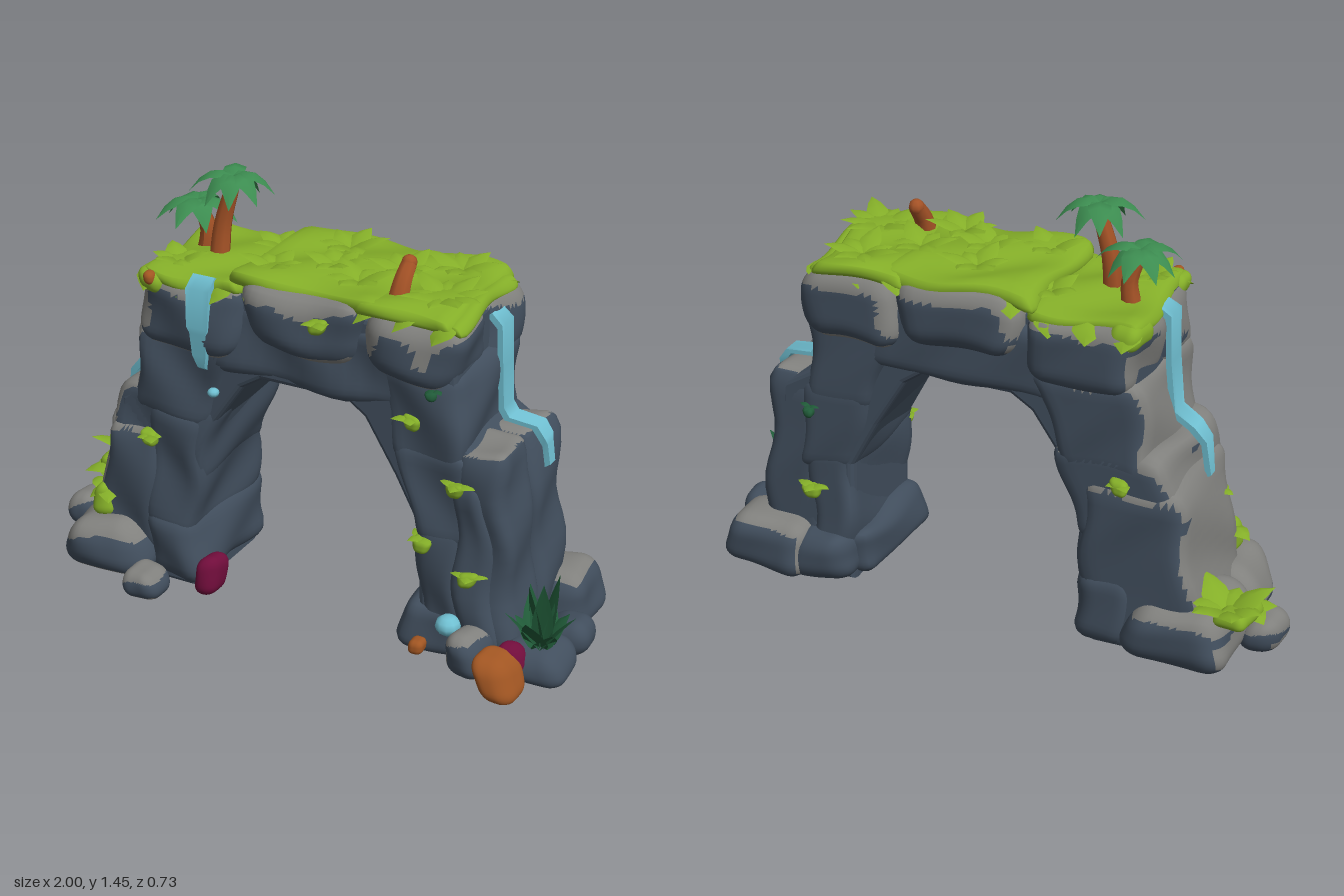
import * as THREE from 'three';
import { mergeVertices } from 'three/addons/utils/BufferGeometryUtils.js';

const mat = (name, color, side = THREE.FrontSide) => {
  const m = new THREE.MeshStandardMaterial({ color, side });
  m.name = name;
  return m;
};
const { lerp, clamp } = THREE.MathUtils;

export function createModel() {
  const model = new THREE.Group();
  model.name = 'rockArch';
  const slate = mat('slate', 0x414e5d);
  const gray = mat('paleStone', 0x80807d);
  const grass = mat('grass', 0x84ae28, THREE.DoubleSide);
  const palm = mat('palmGreen', 0x3c8c50, THREE.DoubleSide);
  const dark = mat('darkGreen', 0x205a38, THREE.DoubleSide);
  const bark = mat('bark', 0xa45226);
  const water = mat('water', 0x70c0d2);
  const maroon = mat('maroon', 0x700d3b);
  const orange = mat('orangeStone', 0xa05522);

  const add = (name, geo, material, x = 0, y = 0, z = 0) => {
    const mesh = new THREE.Mesh(geo, material);
    mesh.name = name;
    mesh.position.set(x, y, z);
    model.add(mesh);
    return mesh;
  };

  // Rounded, tapered boulder: x range at the bottom and at the top, then y and z ranges
  const boulder = ([a0, a1], [b0, b1], [y0, y1], [z0, z1], round = 0.05, wob = 0.011) => {
    const w = (a1 - a0 + b1 - b0) / 2, h = y1 - y0, d = z1 - z0;
    let geo = new THREE.BoxGeometry(w, h, d, 14, 14, 14);
    geo.deleteAttribute('normal');
    geo.deleteAttribute('uv');
    geo = mergeVertices(geo);
    const r = Math.min(round, w * 0.48, h * 0.48, d * 0.48);
    const p = geo.attributes.position, v = new THREE.Vector3(), inner = new THREE.Vector3();
    for (let i = 0; i < p.count; i++) {
      v.fromBufferAttribute(p, i);
      inner.set(clamp(v.x, r - w / 2, w / 2 - r), clamp(v.y, r - h / 2, h / 2 - r), clamp(v.z, r - d / 2, d / 2 - r));
      v.sub(inner).setLength(r).add(inner);
      const t = v.y / h + 0.5, s = v.x / w + 0.5;
      let x = lerp(lerp(a0, b0, t), lerp(a1, b1, t), s), y = y0 + t * h, z = (z0 + z1) / 2 + v.z;
      const n1 = Math.sin(x * 17 + y * 13), n2 = Math.sin(y * 19 + z * 11 + x * 5), n3 = Math.sin(z * 16 + x * 14);
      x += wob * n2; y += wob * n3 * 0.7; z += wob * n1;
      p.setXYZ(i, x, Math.max(0.01, y), z);
    }
    geo.computeVertexNormals();
    return geo;
  };

  // Plain dark stone
  const plain = (name, a, b, y, z, round) => add(name, boulder(a, b, y, z, round), slate);

  // Stone weathered pale where it faces up, more so towards -x
  const rock = (name, a, b, y, z, limit = 0.35, round = 0.05) => {
    const geo = boulder(a, b, y, z, round);
    const idx = geo.index.array, nrm = geo.attributes.normal, p = geo.attributes.position;
    const lists = [[], []];
    for (let i = 0; i < idx.length; i += 3) {
      const tri = [idx[i], idx[i + 1], idx[i + 2]];
      const up = tri.reduce((s, k) => s + nrm.getY(k) - 0.3 * nrm.getX(k), 0) / 3;
      const k = tri[0], n = 0.1 * Math.sin(p.getX(k) * 31 + p.getZ(k) * 23);
      lists[up + n > limit ? 1 : 0].push(...tri);
    }
    geo.setIndex([...lists[0], ...lists[1]]);
    geo.addGroup(0, lists[0].length, 0);
    geo.addGroup(lists[0].length, lists[1].length, 1);
    add(name, geo, [slate, gray]);
  };

  // Core of the arch
  const outline = [[-0.72, 0.03], [-0.38, 0.03], [-0.39, 0.3], [-0.35, 0.5], [-0.3, 0.65], [-0.19, 0.81], [-0.11, 0.86],
    [0.21, 0.86], [0.28, 0.81], [0.39, 0.63], [0.48, 0.46], [0.49, 0.03], [0.74, 0.03], [0.7, 0.7], [0.57, 0.78],
    [0.56, 1.12], [-0.5, 1.12], [-0.52, 0.75], [-0.62, 0.66]];
  const core = new THREE.ExtrudeGeometry(new THREE.Shape(outline.map(q => new THREE.Vector2(...q))),
    { depth: 0.36, bevelSize: 0.02, bevelThickness: 0.03, bevelSegments: 3 });
  add('archCore', core, slate, 0, 0, -0.2);

  // Left leg
  rock('leftLegBase', [-0.8, -0.36], [-0.69, -0.36], [0.02, 0.62], [-0.27, 0.18], 0.33);
  rock('leftLegFront', [-0.77, -0.5], [-0.68, -0.48], [0.1, 0.58], [-0.02, 0.215], 0.36);
  plain('leftLegInner', [-0.55, -0.36], [-0.53, -0.3], [0.2, 0.68], [-0.24, 0.21]);
  rock('leftLegStep', [-0.71, -0.34], [-0.64, -0.25], [0.4, 0.73], [-0.26, 0.2], 0.33);
  rock('leftLegUpper', [-0.6, -0.31], [-0.55, -0.16], [0.62, 0.97], [-0.26, 0.205], 0.33);
  plain('leftFootInner', [-0.57, -0.32], [-0.55, -0.35], [0.02, 0.29], [-0.28, 0.22], 0.07);
  rock('leftFootFront', [-0.88, -0.5], [-0.82, -0.56], [0.02, 0.22], [0.02, 0.31], 0.4, 0.09);
  rock('leftFootBack', [-0.9, -0.5], [-0.85, -0.55], [0.02, 0.24], [-0.33, 0.02], 0.45, 0.09);
  rock('leftFootOuter', [-1, -0.84], [-0.98, -0.86], [0.02, 0.15], [-0.11, 0.06], 0.35, 0.07);
  rock('leftPebble', [-0.58, -0.43], [-0.57, -0.44], [0.01, 0.11], [0.23, 0.37], 0.3, 0.07);

  // Right leg
  rock('rightLegOuterFront', [0.58, 0.81], [0.58, 0.755], [0.03, 0.77], [-0.03, 0.2], 0.6);
  rock('rightLegOuterBack', [0.58, 0.82], [0.58, 0.76], [0.03, 0.76], [-0.24, -0.01], 0.7);
  plain('rightLegFront', [0.6, 0.77], [0.58, 0.7], [0.05, 0.66], [-0.05, 0.22]);
  plain('rightLegInner', [0.47, 0.63], [0.45, 0.63], [0.05, 0.52], [-0.25, 0.21]);
  plain('rightLegMiddle', [0.46, 0.66], [0.36, 0.64], [0.42, 0.76], [-0.25, 0.21]);
  plain('rightLegUpper', [0.39, 0.62], [0.26, 0.61], [0.66, 1.02], [-0.25, 0.205]);
  plain('rightFootInner', [0.4, 0.62], [0.42, 0.6], [0.02, 0.2], [-0.22, 0.22]);
  plain('rightFootBackInner', [0.44, 0.7], [0.46, 0.68], [0.02, 0.2], [-0.31, -0.05], 0.07);
  rock('rightFootFront', [0.6, 0.75], [0.62, 0.74], [0.02, 0.18], [0.16, 0.34], 0.45, 0.06);
  plain('rightFootOuter', [0.8, 1], [0.84, 0.98], [0.02, 0.155], [-0.1, 0.07], 0.07);
  plain('rightFootCorner', [0.74, 0.99], [0.76, 0.96], [0.02, 0.14], [0.06, 0.25], 0.07);
  rock('rightFootBack', [0.6, 0.93], [0.62, 0.9], [0.02, 0.22], [-0.34, -0.1], 0.65, 0.07);

  // Lintel and capstones
  plain('lintel', [-0.3, 0.4], [-0.32, 0.42], [0.84, 1.1], [-0.25, 0.205]);
  rock('leftCapFront', [-0.54, -0.18], [-0.55, -0.14], [0.89, 1.155], [-0.03, 0.235], 0.22, 0.07);
  rock('leftCapBack', [-0.53, -0.18], [-0.55, -0.15], [0.91, 1.155], [-0.28, 0.02], 0.22, 0.07);
  rock('middleCap', [-0.14, 0.26], [-0.16, 0.28], [0.97, 1.2], [-0.3, 0.255], 0.2, 0.08);
  rock('rightCapFront', [0.28, 0.59], [0.27, 0.61], [0.95, 1.18], [-0.04, 0.235], 0.1, 0.08);
  rock('rightCapBack', [0.27, 0.6], [0.26, 0.61], [0.92, 1.18], [-0.3, -0.01], 0.1, 0.08);

  // Grass mounds over the top
  [[-0.54, -0.15, 1.115, 1.17, -0.25, 0.22], [-0.21, 0.33, 1.15, 1.215, -0.27, 0.215],
    [0.22, 0.57, 1.15, 1.207, -0.285, 0.22], [0.45, 0.6, 1.145, 1.19, -0.26, 0.2]]
    .forEach(([x0, x1, y0, y1, z0, z1]) =>
      add('grassMound', boulder([x0, x1], [x0 + 0.02, x1 - 0.02], [y0, y1], [z0, z1], 0.06, 0.014), grass));

  // Leaves: a folded, drooping blade, and a ring of them
  const leaf = (len, w, rise, droop) => {
    const geo = new THREE.PlaneGeometry(1, 1, 2, 4), p = geo.attributes.position;
    for (let i = 0; i < p.count; i++) {
      const t = p.getY(i) + 0.5, s = p.getX(i) * 2;
      const half = w / 2 * Math.sin(Math.PI * Math.pow(0.12 + 0.88 * t, 0.85));
      p.setXYZ(i, s * half, rise * t - droop * t * t - Math.abs(s) * half * 0.35, len * t);
    }
    geo.computeVertexNormals();
    return geo;
  };
  const rosette = (name, m, x, y, z, n, len, w, rise, droop, turn = 0) => {
    const g = new THREE.Group();
    g.name = name;
    g.position.set(x, y, z);
    for (let i = 0; i < n; i++) {
      const k = 1 + 0.18 * Math.sin(i * 2.7 + x * 9);
      const blade = new THREE.Mesh(leaf(len * k, w, rise * k, droop), m);
      blade.name = 'leaf';
      blade.rotation.y = turn + i * Math.PI * 2 / n;
      g.add(blade);
    }
    model.add(g);
  };

  // Grass tufts on top, and a drooping fringe along the rim
  [[0.48, 1.2, 0.06, 9, 0.14], [0.43, 1.2, -0.17, 7, 0.12], [0.2, 1.215, 0.1, 6, 0.11], [0.05, 1.215, -0.13, 6, 0.11],
    [-0.1, 1.205, 0.1, 6, 0.1], [0.28, 1.21, -0.06, 6, 0.11], [-0.44, 1.165, 0.12, 6, 0.09], [-0.2, 1.175, -0.13, 5, 0.1],
    [0.08, 1.215, 0.02, 6, 0.1]]
    .forEach(([x, y, z, n, l], i) => rosette('grassTuft', grass, x, y, z, n, l, 0.075, 0.08, 0.055, i));
  for (let i = 0; i < 18; i++) {
    const x = -0.5 + 1.05 * (i >> 1) / 8, front = i % 2 === 0;
    const y = x < -0.2 ? 1.155 : x > 0.5 ? 1.18 : 1.195;
    const blade = add('grassFringe', leaf(0.075, 0.1, 0.01, 0.07), grass, x, y, front ? 0.17 : -0.22);
    blade.rotation.y = (front ? 0 : Math.PI) + 0.5 * Math.sin(i * 3);
  }
  add('cornerGrass', boulder([-0.55, -0.43], [-0.54, -0.43], [1.07, 1.16], [-0.27, -0.12], 0.04), grass);
  add('cornerGrass', boulder([-0.54, -0.45], [-0.55, -0.43], [1.08, 1.16], [0.14, 0.245], 0.04), grass);

  // Grass at the left foot and moss clumps on the stone
  rosette('footGrass', grass, -0.85, 0.23, -0.22, 7, 0.14, 0.1, 0.13, 0.08);
  rosette('footGrass', grass, -0.88, 0.21, -0.12, 5, 0.1, 0.09, 0.05, 0.07, 0.3);
  rosette('footGrass', grass, -0.71, 0.3, 0.17, 5, 0.085, 0.08, 0.06, 0.08, 0.5);
  add('footMoss', boulder([-0.94, -0.8], [-0.92, -0.82], [0.19, 0.25], [-0.28, -0.1], 0.03), grass);
  add('footMoss', boulder([-0.76, -0.66], [-0.73, -0.68], [0.21, 0.33], [0.1, 0.235], 0.04), grass);
  const clump = (x, y, z, m = grass, s = 1) => {
    add('mossClump', boulder([x - 0.02 * s, x + 0.025 * s], [x - 0.035 * s, x + 0.035 * s], [y - 0.03 * s, y + 0.022 * s],
      [z - 0.03, z + 0.025 * s], 0.02), m);
    rosette('mossLeaves', m, x, y + 0.015 * s, z, 4, 0.055 * s, 0.045 * s, 0.02, 0.025, x * 5);
  };
  [[-0.51, 0.55, 0.215], [0.43, 0.83, 0.2], [0.61, 0.645, 0.215], [0.66, 0.34, 0.22], [0.49, 0.43, 0.21], [0.14, 1.11, 0.255],
    [-0.69, 0.45, 0.12], [-0.5, 0.62, -0.26], [0.6, 0.35, -0.25]].forEach(c => clump(...c));
  [[0.52, 0.95, 0.205], [0.6, 0.65, -0.25]].forEach(c => clump(...c, dark, 0.65));

  // Palms and the leaning stump
  const trunk = (name, pts, r0, r1) => {
    const curve = new THREE.CatmullRomCurve3(pts.map(q => new THREE.Vector3(...q)));
    const geo = new THREE.TubeGeometry(curve, 8, 1, 8), p = geo.attributes.position;
    for (let i = 0; i < p.count; i++) {
      const t = Math.floor(i / 9) / 8, c = curve.getPointAt(t), r = lerp(r0, r1, t);
      p.setXYZ(i, c.x + (p.getX(i) - c.x) * r, c.y + (p.getY(i) - c.y) * r, c.z + (p.getZ(i) - c.z) * r);
    }
    geo.computeVertexNormals();
    add(name, geo, bark);
    add(name + 'Top', new THREE.SphereGeometry(r1 * 1.02, 8, 6), bark, ...pts[pts.length - 1]);
  };
  trunk('shortPalmTrunk', [[-0.44, 1.13, -0.05], [-0.43, 1.22, -0.05], [-0.455, 1.3, -0.04]], 0.034, 0.022);
  trunk('tallPalmTrunk', [[-0.355, 1.13, 0.01], [-0.345, 1.27, 0], [-0.305, 1.41, 0]], 0.036, 0.024);
  trunk('stump', [[0.34, 1.17, 0.11], [0.345, 1.24, 0.085], [0.35, 1.29, 0.05]], 0.036, 0.026);
  rosette('shortPalmCrown', palm, -0.455, 1.325, -0.03, 8, 0.125, 0.075, 0.08, 0.15);
  rosette('tallPalmCrown', palm, -0.305, 1.44, 0, 8, 0.125, 0.075, 0.1, 0.17, 0.4);

  // Spiky plant at the right foot
  rosette('spikyPlantOuter', dark, 0.89, 0.13, 0.17, 8, 0.105, 0.085, 0.17, 0.05);
  rosette('spikyPlantInner', dark, 0.895, 0.13, 0.17, 6, 0.05, 0.07, 0.23, 0.01, 0.4);

  // Waterfalls: a thin sheet following points of [outward, height, width]
  const fall = (name, path, turn, x, z) => {
    const n = path.length - 1;
    const geo = new THREE.BoxGeometry(1, n, 0.018, 4, n, 1), p = geo.attributes.position;
    for (let i = 0; i < p.count; i++) {
      const [out, y, w] = path[Math.round(n / 2 - p.getY(i))], t = p.getZ(i);
      p.setXYZ(i, p.getX(i) * w, y + t * 0.7, out + t);
    }
    geo.computeVertexNormals();
    add(name, geo, water, x, 0, z).rotation.y = turn;
  };
  fall('rightWaterfall', [[0.58, 1.125, 0.08], [0.618, 1.09, 0.085], [0.624, 0.95, 0.08], [0.63, 0.81, 0.075], [0.65, 0.78, 0.075],
    [0.745, 0.77, 0.07], [0.773, 0.73, 0.065], [0.778, 0.71, 0.045], [0.788, 0.64, 0.04]], Math.PI / 2, 0, -0.09);
  fall('leftWaterfall', [[0.5, 1.14, 0.08], [0.553, 1.11, 0.09], [0.558, 0.95, 0.085], [0.575, 0.78, 0.08], [0.64, 0.738, 0.075],
    [0.68, 0.69, 0.06], [0.695, 0.57, 0.035]], -Math.PI / 2, 0, 0.015);
  fall('frontWaterfall', [[0.19, 1.165, 0.08], [0.235, 1.13, 0.085], [0.242, 1.0, 0.078], [0.238, 0.98, 0.06], [0.232, 0.9, 0.05],
    [0.22, 0.855, 0.025]], 0, -0.3, 0);
  const drop = (x, y, z, s) => add('waterPool', new THREE.SphereGeometry(s, 10, 6), water, x, y, z).scale.set(1, 0.8, 1);
  drop(-0.27, 0.77, 0.205, 0.02);
  drop(0.6, 0.165, 0.235, 0.043);

  // Coloured stones
  add('maroonStone', boulder([-0.37, -0.28], [-0.33, -0.25], [0.02, 0.16], [0.13, 0.24], 0.04), maroon);
  add('maroonStone', boulder([0.77, 0.87], [0.78, 0.86], [0.07, 0.16], [0.2, 0.28], 0.04), maroon);
  add('orangeStone', boulder([0.75, 0.88], [0.73, 0.86], [0.01, 0.155], [0.23, 0.365], 0.05, 0.014), orange);
  add('orangePebble', boulder([0.47, 0.52], [0.47, 0.52], [0.04, 0.09], [0.21, 0.27], 0.02, 0.004), orange);
  add('orangePebble', boulder([-0.5, -0.46], [-0.5, -0.46], [1.12, 1.165], [0.21, 0.255], 0.02, 0.004), orange);
  return model;
}
